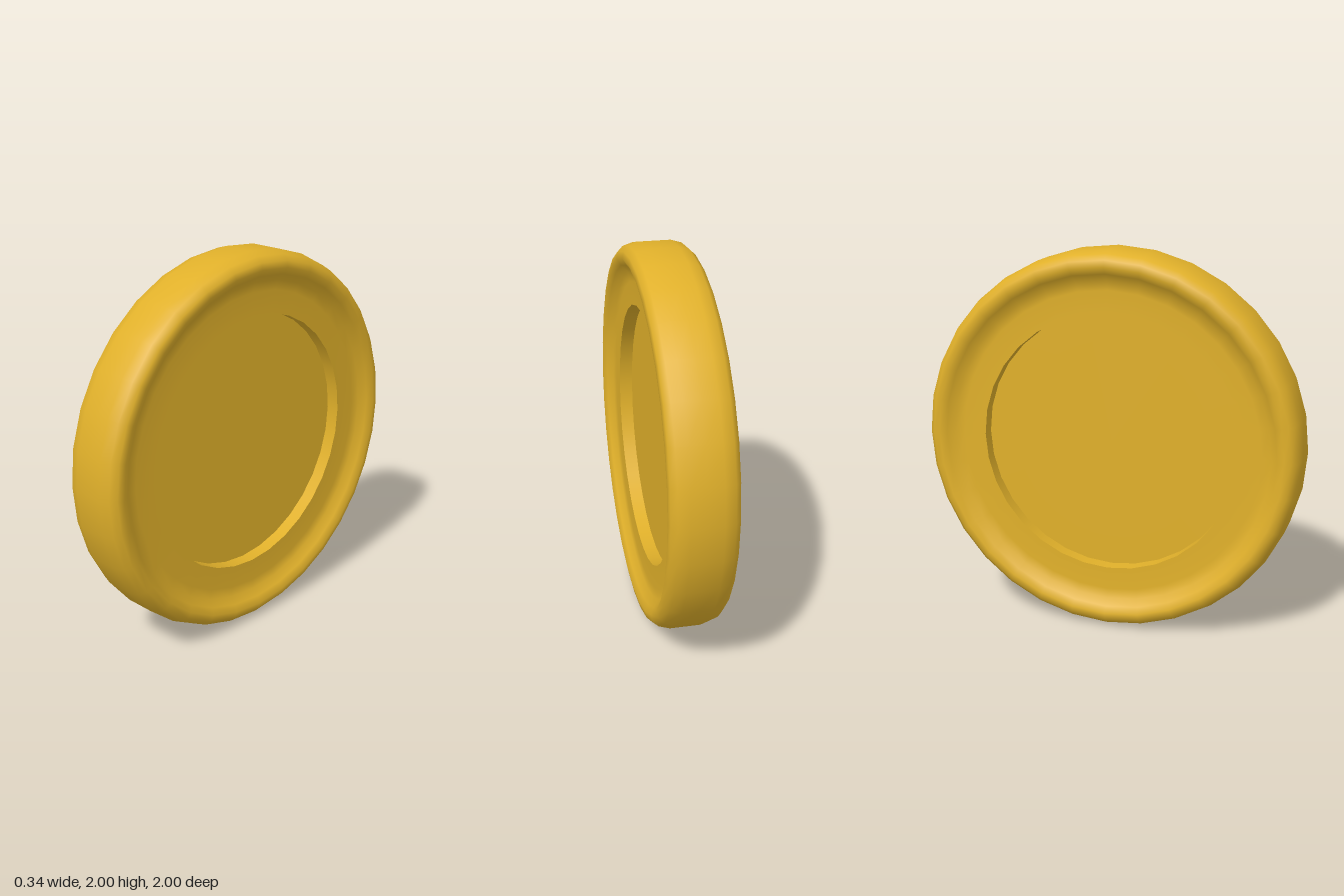
import * as THREE from 'three';

const SEGMENTS = 32;
const gold = new THREE.MeshStandardMaterial({ color: 0xe0b02a });

// Turn a profile of [radius, distance along axis] pairs into a surface around the x axis
function turned(name, profile) {
  const geometry = new THREE.LatheGeometry(
    profile.map(([r, h]) => new THREE.Vector2(r, h)), SEGMENTS);
  geometry.rotateZ(-Math.PI / 2);
  const mesh = new THREE.Mesh(geometry, gold);
  mesh.name = name;
  return mesh;
}

// Mirror a profile to the other face, keeping its direction of travel
const mirrored = (profile) => profile.map(([r, h]) => [r, -h]).reverse();

export function createModel() {
  const coin = new THREE.Group();
  coin.name = 'coin';
  const body = new THREE.Group();
  body.name = 'coinBody';
  body.position.y = 1;
  coin.add(body);

  // Rounded rim with the sunken ring on each face
  const half = [
    [0.68, -0.11], [0.8, -0.11], [0.85, -0.118], [0.885, -0.15], [0.92, -0.17],
    [0.955, -0.163], [0.983, -0.135], [1, -0.08],
  ];
  body.add(turned('rim', [...half, [1, 0], ...mirrored(half)]));

  // Recess in each face: straight wall and flat floor
  const wall = [[0.68, -0.04], [0.68, -0.11]];
  const floor = [[0, -0.04], [0.53, -0.04], [0.68, -0.04]];
  body.add(turned('rightRecessWall', wall), turned('leftRecessWall', mirrored(wall)));
  body.add(turned('rightRecessFloor', floor), turned('leftRecessFloor', mirrored(floor)));

  return coin;
}
